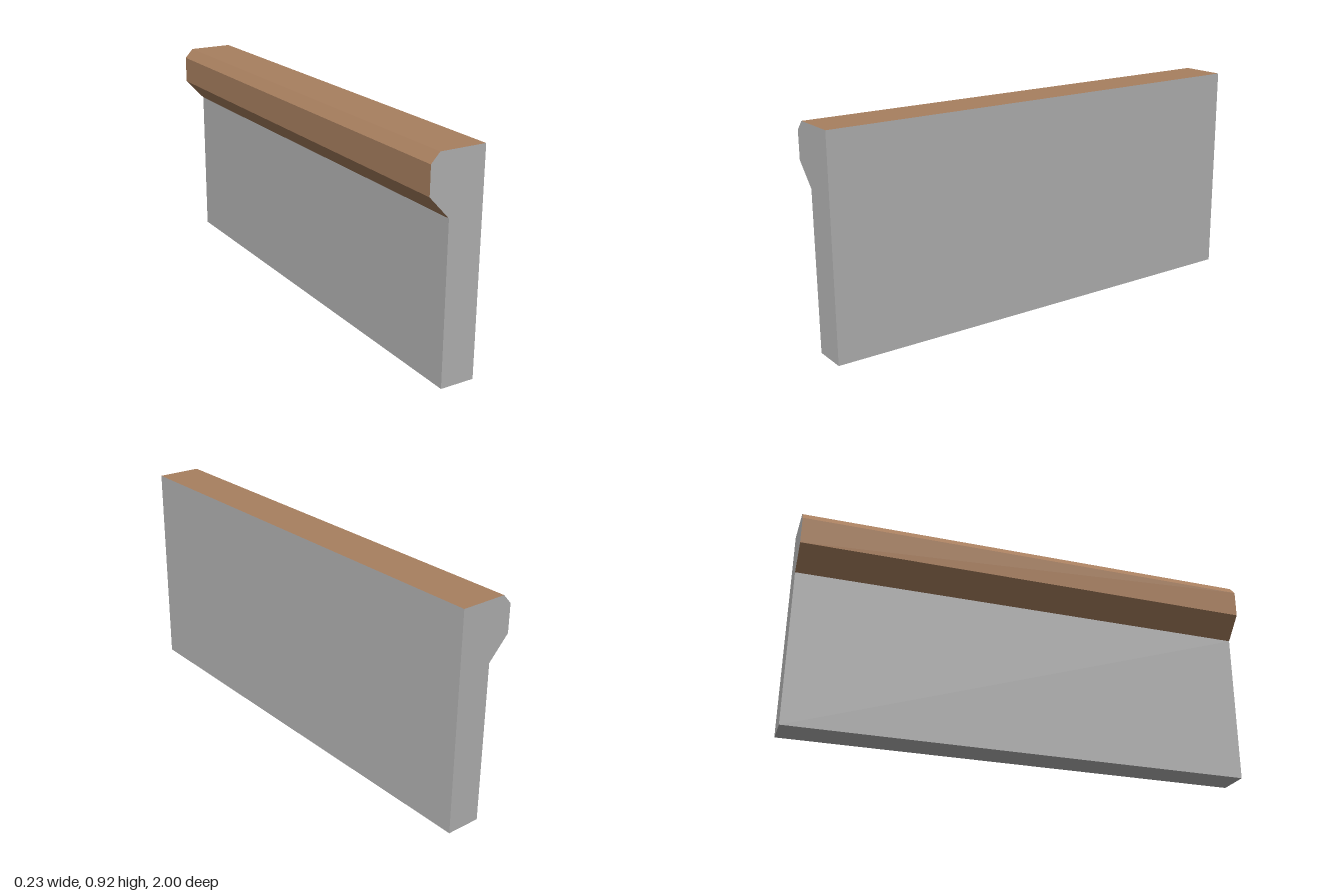
import * as THREE from 'three';

export function createModel() {
  const grey = new THREE.MeshStandardMaterial({ color: 0xb2b2b2 });
  grey.name = 'plain grey';
  const brown = new THREE.MeshStandardMaterial({ color: 0xa87f5f });
  brown.name = 'wood brown';

  const model = new THREE.Group();
  model.name = 'railing';
  const length = 2, back = 0.117, front = -0.03, joint = 0.667;

  // Upright panel, full length
  const panel = new THREE.Mesh(new THREE.BoxGeometry(back - front, joint, length), grey);
  panel.name = 'panel';
  panel.position.set((back + front) / 2, joint / 2, 0);
  model.add(panel);

  // Chamfered top rail overhanging the panel on one side
  const profile = [
    [front, joint], [back, joint], [back, 0.917], [-0.08, 0.917], [-0.117, 0.877], [-0.117, 0.76],
  ].map(([x, y]) => new THREE.Vector2(x, y));
  const railGeometry = new THREE.ExtrudeGeometry(new THREE.Shape(profile), {
    depth: length, bevelEnabled: false,
  });
  railGeometry.translate(0, 0, -length / 2);

  // Wood on the top and overhanging faces, grey on the ends, flat side and underside
  railGeometry.clearGroups();
  const normals = railGeometry.attributes.normal;
  for (let i = 0; i < normals.count; i += 3) {
    const isWood = normals.getY(i) > 0.5 || normals.getX(i) < -0.5;
    railGeometry.addGroup(i, 3, isWood ? 1 : 0);
  }
  const rail = new THREE.Mesh(railGeometry, [grey, brown]);
  rail.name = 'topRail';
  model.add(rail);

  return model;
}
